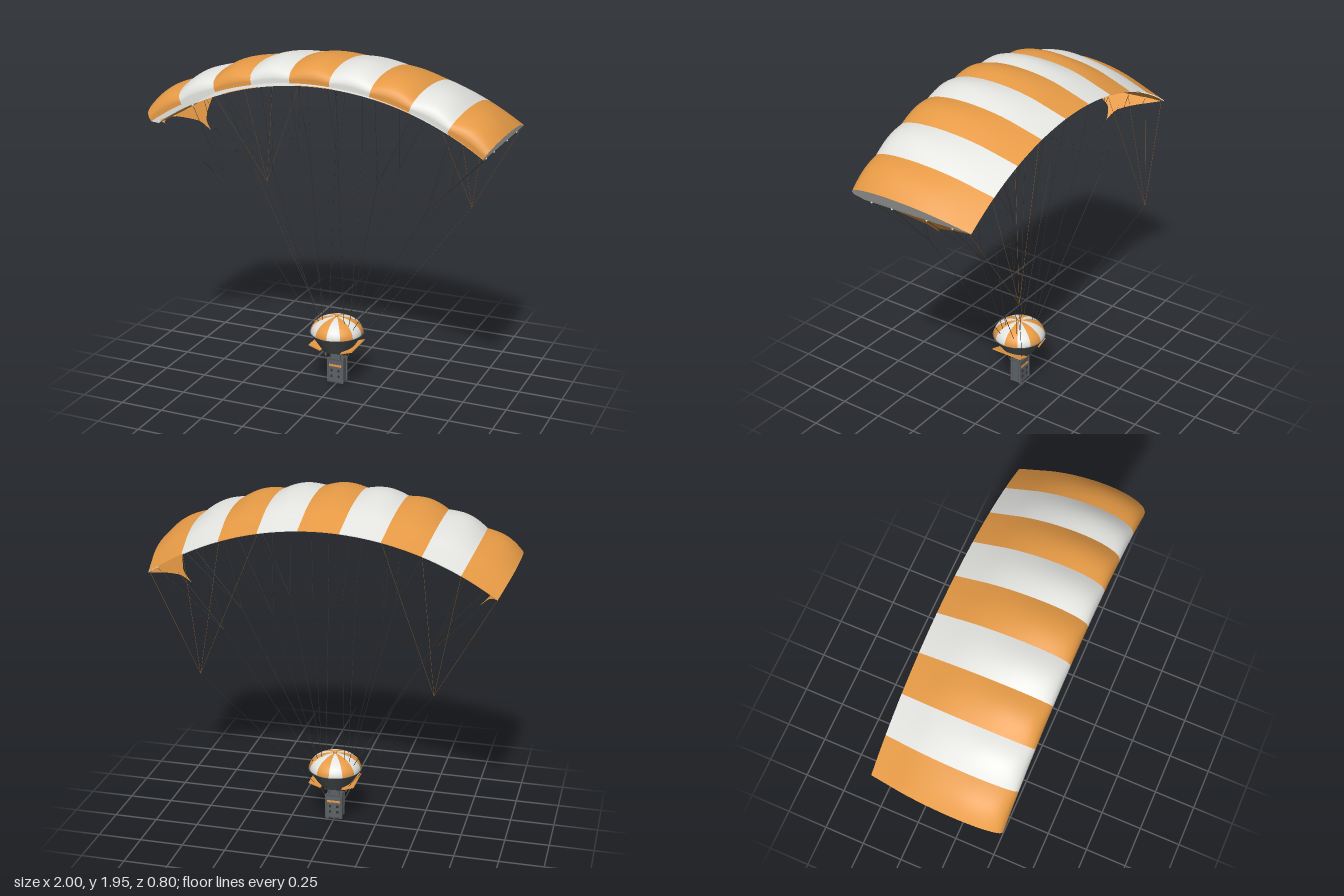
import * as THREE from 'three';

const mat = (name, color, side = THREE.FrontSide) => {
  const m = new THREE.MeshStandardMaterial({ color, side });
  m.name = name;
  return m;
};

export function createModel() {
  const orange = mat('orange fabric', 0xe69a45, THREE.DoubleSide);
  const white = mat('white fabric', 0xe4e4e1, THREE.DoubleSide);
  const dark = mat('dark hull', 0x54585b);
  const grey = mat('basket grey', 0x5d6368);
  const cord = mat('dark cord', 0x38342f);
  const brown = mat('brown trim', 0x85592f);

  const model = new THREE.Group();
  const add = (parent, name, geometry, material, x = 0, y = 0, z = 0) => {
    const m = new THREE.Mesh(geometry, material);
    m.name = name;
    m.position.set(x, y, z);
    parent.add(m);
    return m;
  };
  const group = (name) => {
    const g = new THREE.Group();
    g.name = name;
    model.add(g);
    return g;
  };
  // Surface from a rule point(u, v)
  const grid = (point, nu, nv) => {
    const pos = [], idx = [];
    for (let j = 0; j <= nv; j++)
      for (let i = 0; i <= nu; i++) pos.push(...point(i / nu, j / nv));
    for (let j = 0; j < nv; j++)
      for (let i = 0; i < nu; i++) {
        const a = j * (nu + 1) + i, d = a + nu + 1;
        idx.push(a, a + 1, d + 1, a, d + 1, d);
      }
    const g = new THREE.BufferGeometry();
    g.setAttribute('position', new THREE.Float32BufferAttribute(pos, 3));
    g.setIndex(idx);
    g.computeVertexNormals();
    return g;
  };
  // Thin cord between two points
  const rope = (parent, name, a, b, material = cord, r = 0.0012) => {
    const p = new THREE.Vector3(...a), q = new THREE.Vector3(...b);
    const d = q.clone().sub(p);
    const m = add(parent, name, new THREE.CylinderGeometry(r, r, d.length(), 5), material);
    m.position.copy(p).addScaledVector(d, 0.5);
    m.quaternion.setFromUnitVectors(new THREE.Vector3(0, 1, 0), d.normalize());
  };

  // Canopy: nine cells on a circular arc, with an aerofoil section along z
  const R = 1.652, CY = 0.168, STEP = 0.1337, LIP = 0.345;
  const onArc = (k, h, z) => {
    const t = k * STEP;
    return [Math.sin(t) * (R + h), CY + Math.cos(t) * (R + h), z];
  };
  const section = new THREE.CatmullRomCurve3([
    [0.4, 0.014], [0.4, 0.036], [0.385, 0.062], [0.345, 0.084], [0.27, 0.103], [0.15, 0.111],
    [0, 0.1], [-0.12, 0.077], [-0.23, 0.043], [-0.325, 0.012],
  ].map(([z, h]) => new THREE.Vector3(0, h, z)));
  // Underside: rim rising to the nose, shallow belly, slight rise to the trailing edge
  const lower = (z) => (z > LIP ? -0.012 + (z - LIP) * 0.47 : -0.012 + 0.02 * ((LIP - z) / 0.67) ** 2);

  const canopy = group('canopy');
  for (let c = -4; c <= 4; c++) {
    const material = c % 2 ? white : orange;
    add(canopy, 'upper cell', grid((u, v) => {
      const p = section.getPoint(v);
      const puff = 0.02 * Math.sin(Math.PI * u)
        * Math.min(1, Math.max(0, p.y - 0.012) / 0.07) * Math.min(1, Math.max(0, p.z + 0.325) / 0.5) ** 1.3;
      return onArc(c - 0.5 + u, p.y + puff, Math.min(p.z, 0.4));
    }, 10, 36), material);
    // The front of the underside stays open as an air intake
    const under = (lift, z1) => grid((u, v) => {
      const z = LIP + (z1 - LIP) * v;
      return onArc(c + 0.5 - u, lower(z) + lift, z);
    }, 6, 10);
    add(canopy, 'lower cell', under(0, -0.325), material);
    add(canopy, 'inner lining', under(0.003, -0.27), white);
  }

  // Closed canopy ends and the scalloped flaps below them
  const flap = new THREE.Shape();
  flap.moveTo(0.32, -0.004);
  flap.lineTo(0.3, 0.03);
  flap.quadraticCurveTo(0.28, 0.006, 0.23, 0.006);
  flap.lineTo(0.163, 0.02);
  flap.quadraticCurveTo(0.08, 0.055, 0.008, 0.098);
  flap.quadraticCurveTo(-0.018, 0.12, -0.028, 0.19);
  flap.quadraticCurveTo(-0.045, 0.135, -0.07, 0.11);
  flap.quadraticCurveTo(-0.15, 0.06, -0.225, 0.032);
  flap.lineTo(-0.31, -0.004);
  for (const s of [-1, 1]) {
    add(canopy, 'end panel', grid((u, v) => {
      const p = section.getPoint(v), z = Math.min(p.z, 0.4), d = lower(z);
      const w = s > 0 ? u : 1 - u;
      return onArc(s * 4.5, d + (p.y - d) * w, z);
    }, 1, 36), white);
    const g = new THREE.ShapeGeometry(flap, 8);
    const p = g.attributes.position;
    for (let i = 0; i < p.count; i++) {
      const z = p.getX(i), l = p.getY(i);
      p.setXYZ(i, s * (0.935 - 0.69 * l), 1.53 - 0.72 * l, z);
    }
    g.computeVertexNormals();
    add(canopy, 'end flap', g, orange);
  }

  // Rigging: each node gathers cords from neighbouring ribs
  const lines = group('rigging');
  const bead = new THREE.SphereGeometry(0.006, 8, 6);
  const nodes = [
    { ribs: [4.5, 3.5], x: 0.59, y: 1.17, end: [0.105, 0.36] },
    { ribs: [2.5, 1.5], x: 0.305, y: 1.28, end: [0.085, 0.37] },
    { ribs: [0.5], x: 0.08, y: 1.36, end: [0.065, 0.375] },
  ];
  const rows = [
    { z: 0.21, top: [0.3, 0.17], end: 0.085 },
    { z: -0.13, top: [-0.05, -0.21], end: 0.0 },
  ];
  for (const s of [-1, 1]) {
    for (const n of nodes)
      for (const row of rows) {
        const knot = [s * n.x, n.y, row.z];
        for (const k of n.ribs)
          for (const z of row.top) {
            const tip = onArc(s * k, lower(z) - 0.002, z);
            rope(lines, 'upper cord', knot, tip);
            add(lines, 'cord bead', bead, white, ...tip);
          }
        rope(lines, 'main cord', knot, [s * n.end[0], n.end[1] - 0.02, row.end], cord, 0.0015);
      }
    const brake = [s * 0.64, 1.01, -0.398];
    for (const k of [4.5, 3.5, 2.5, 1.5])
      rope(lines, 'brake cord', brake, onArc(s * k, 0.006, -0.31), brown, 0.001);
    rope(lines, 'brake handle cord', brake, [s * 0.1, 0.25, -0.045], cord, 0.0012);
  }

  // Striped dome on a dark bowl
  const pod = group('pod');
  pod.position.z = 0.04;
  for (let i = 0; i < 12; i++) {
    const g = new THREE.SphereGeometry(1, 4, 10, (i * Math.PI) / 6, Math.PI / 6, 0, Math.PI / 2);
    g.scale(0.15, 0.092, 0.15);
    add(pod, 'dome stripe', g, i % 2 ? white : orange, 0, 0.32, 0);
  }
  add(pod, 'dome knob', new THREE.SphereGeometry(0.012, 12, 8), orange, 0, 0.417, 0);
  add(pod, 'bowl', new THREE.CylinderGeometry(0.155, 0.085, 0.105, 32), dark, 0, 0.2675, 0);
  add(pod, 'bowl base ring', new THREE.CylinderGeometry(0.06, 0.055, 0.012, 24), dark, 0, 0.21, 0);
  // Side wings tilt up towards their tips
  for (const s of [-1, 1]) {
    const wing = add(pod, 'side wing', new THREE.BoxGeometry(0.075, 0.006, 0.194), orange, s * 0.097, 0.24, 0);
    wing.rotation.z = s * 0.32;
  }

  // Hanging basket with struts and fittings
  const basket = group('basket');
  basket.position.z = 0.035;
  add(basket, 'basket body', new THREE.BoxGeometry(0.09, 0.14, 0.06), grey, 0, 0.082, 0);
  add(basket, 'basket rim', new THREE.BoxGeometry(0.09, 0.01, 0.068), dark, 0, 0.153, 0);
  add(basket, 'basket floor', new THREE.BoxGeometry(0.09, 0.01, 0.066), dark, 0, 0.015, 0);
  for (const f of [-1, 1]) {
    add(basket, 'orange band', new THREE.BoxGeometry(0.076, 0.012, 0.005), orange, 0, 0.116, f * 0.031);
    for (const s of [-1, 1]) {
      add(basket, 'corner post', new THREE.CylinderGeometry(0.007, 0.007, 0.145, 8), grey, s * 0.045, 0.085, f * 0.029);
      rope(basket, 'strut', [s * 0.03, 0.15, f * 0.025], [s * 0.03, 0.215, f * 0.025], dark, 0.003);
      rope(basket, 'sling', [s * 0.05, 0.15, f * 0.03], [s * 0.08, 0.235, f * 0.055], brown, 0.0015);
      for (const y of [0.05, 0.085])
        add(basket, 'stud', new THREE.BoxGeometry(0.012, 0.014, 0.006), cord, s * 0.022, y, f * 0.031);
    }
  }
  for (const s of [-1, 1])
    add(basket, 'hanging weight', new THREE.CylinderGeometry(0.005, 0.005, 0.026, 8), grey, s * 0.062, 0.178, 0.02);
  add(basket, 'foot', new THREE.BoxGeometry(0.016, 0.012, 0.02), dark, 0.036, 0.006, -0.036);

  return model;
}
